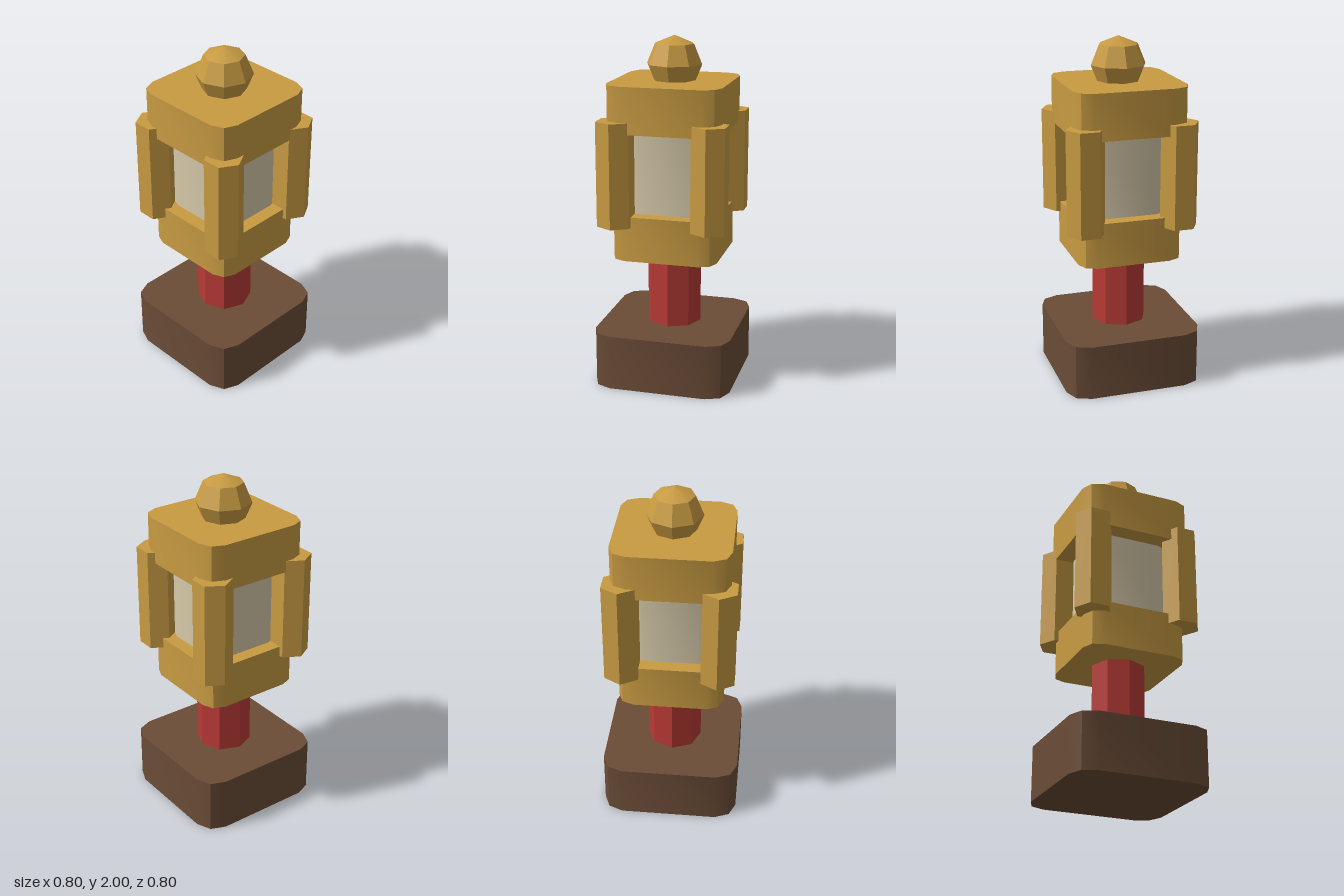
import * as THREE from 'three';
import { toCreasedNormals } from 'three/addons/utils/BufferGeometryUtils.js';

const CREASE = 0.6; // keeps edges over about 34 degrees sharp

const material = (name, color) => {
  const m = new THREE.MeshStandardMaterial({ color });
  m.name = name;
  return m;
};

// Square block with two-step rounded corners, standing from y0 to y1
function roundedBlock(half, y0, y1) {
  const a = half * 0.7, b = half * 0.912;
  const corner = [[half, a], [b, b], [a, half]];
  const points = [];
  for (let i = 0; i < 4; i++) {
    for (const [x, y] of corner) {
      points.push(new THREE.Vector2(x, y).rotateAround(new THREE.Vector2(), i * Math.PI / 2));
    }
  }
  const geo = new THREE.ExtrudeGeometry(new THREE.Shape(points), { depth: y1 - y0, bevelEnabled: false });
  geo.rotateX(-Math.PI / 2).translate(0, y0, 0);
  return toCreasedNormals(geo, CREASE);
}

// Faceted column with a corner pointing along +x
function column(radius, sides, y0, y1) {
  const geo = new THREE.CylinderGeometry(radius, radius, y1 - y0, sides, 1, false, Math.PI / 2);
  geo.translate(0, (y0 + y1) / 2, 0);
  return toCreasedNormals(geo, CREASE);
}

export function createModel() {
  const wood = material('dark wood', 0x6b4c37);
  const red = material('red', 0xb83a35);
  const gold = material('gold', 0xc89b42);
  const cream = material('cream glass', 0xd6c9a9);

  const model = new THREE.Group();
  model.name = 'lantern';
  const add = (name, geo, mat, x = 0, z = 0) => {
    const mesh = new THREE.Mesh(geo, mat);
    mesh.name = name;
    mesh.position.set(x, 0, z);
    model.add(mesh);
  };

  // Foot and post
  add('base', roundedBlock(0.4, 0, 0.32), wood);
  add('post', column(0.16, 8, 0.32, 0.75), red);

  // Lantern body
  add('lowerBlock', roundedBlock(0.302, 0.75, 1.01), gold);
  add('glass', roundedBlock(0.223, 1.01, 1.485), cream);
  add('upperBlock', roundedBlock(0.329, 1.485, 1.75), gold);

  // Hexagonal corner pillars
  const pillar = column(0.11, 6, 0.95, 1.55);
  for (const sx of [-1, 1]) {
    for (const sz of [-1, 1]) {
      const name = (sz > 0 ? 'front' : 'back') + (sx > 0 ? 'Left' : 'Right') + 'Pillar';
      add(name, pillar, gold, sx * 0.271, sz * 0.271);
    }
  }

  // Faceted ball on top
  const ball = new THREE.SphereGeometry(0.16, 8, 4).translate(0, 1.84, 0);
  add('finial', toCreasedNormals(ball, CREASE), gold);

  return model;
}
